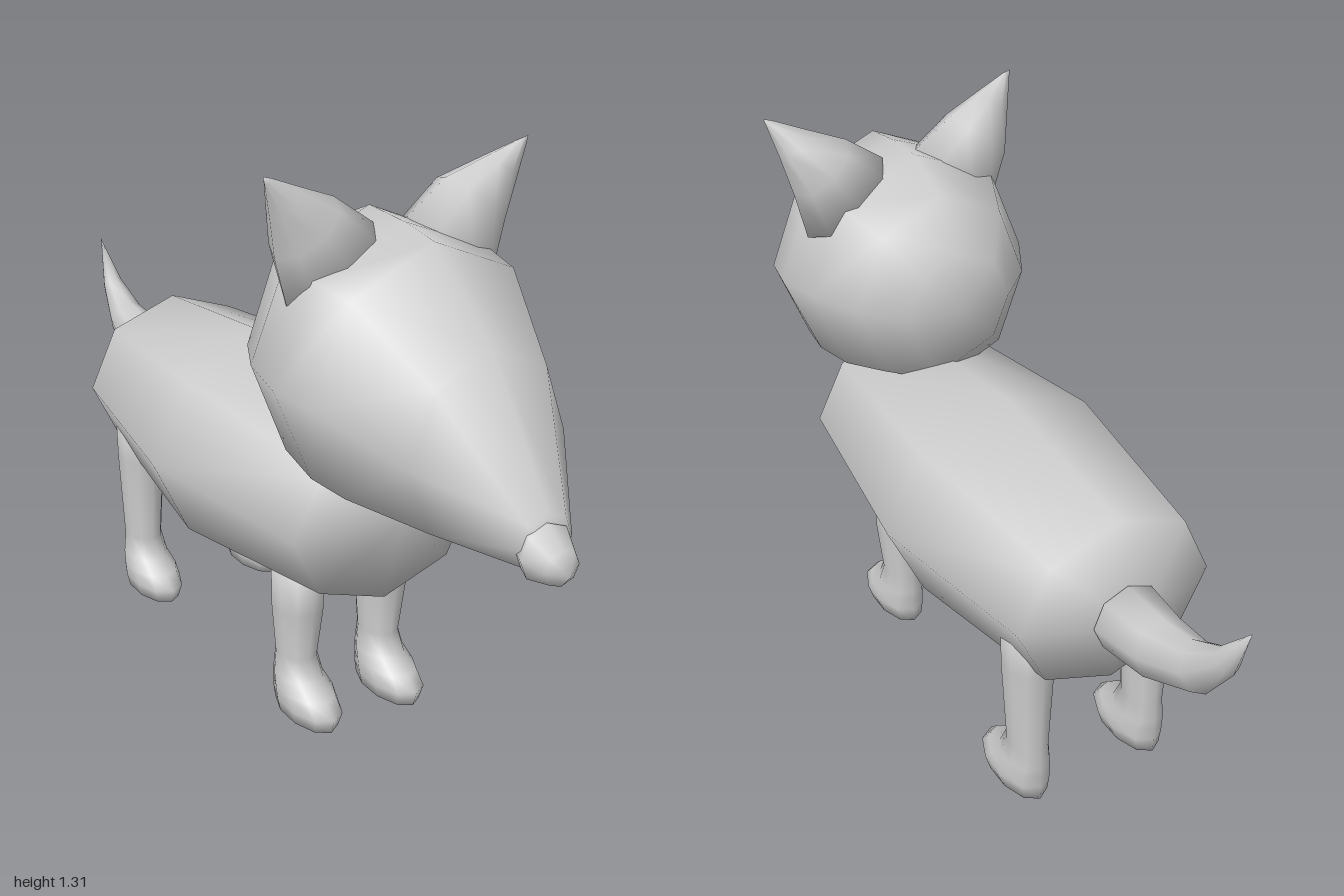
import * as THREE from 'three';

const material = new THREE.MeshStandardMaterial({ color: 0xcccccc });
const X = new THREE.Vector3(1, 0, 0);
const Y = new THREE.Vector3(0, 1, 0);
const Z = new THREE.Vector3(0, 0, 1);

// Closed loft through elliptical rings [x, y, z, radiusU, radiusV, direction?].
// u is the fixed first ring axis; the second is direction x u.
// The end caps close on the points start and end.
function loft(name, rings, u, direction, sides, start, end) {
  const pos = [...start];
  const index = [];
  for (const [x, y, z, ru, rv, dir = direction] of rings) {
    const v = new THREE.Vector3().crossVectors(dir, u).normalize();
    for (let i = 0; i < sides; i++) {
      const a = (i / sides) * Math.PI * 2;
      const p = new THREE.Vector3(x, y, z)
        .addScaledVector(u, ru * Math.cos(a))
        .addScaledVector(v, rv * Math.sin(a));
      pos.push(p.x, p.y, p.z);
    }
  }
  pos.push(...end);
  const last = rings.length * sides + 1;
  for (let i = 0; i < sides; i++) {
    const j = (i + 1) % sides;
    index.push(0, 1 + j, 1 + i);
    for (let r = 0; r < rings.length - 1; r++) {
      const a = 1 + r * sides, b = a + sides;
      index.push(a + i, a + j, b + i, a + j, b + j, b + i);
    }
    index.push(last - sides + i, last - sides + j, last);
  }
  const geometry = new THREE.BufferGeometry();
  geometry.setAttribute('position', new THREE.Float32BufferAttribute(pos, 3));
  geometry.setIndex(index);
  geometry.computeVertexNormals();
  const mesh = new THREE.Mesh(geometry, material);
  mesh.name = name;
  return mesh;
}

// Leg and forward-pointing foot in one loft from the sole up
function leg(name, x, z, y0, top) {
  const rings = [
    [x, y0, z + 0.04, 0.105, 0.052],
    [x, y0 + 0.035, z + 0.045, 0.11, 0.062],
    [x, y0 + 0.065, z + 0.03, 0.095, 0.06],
    [x, y0 + 0.09, z + 0.005, 0.07, 0.053],
    [x, y0 + 0.14, z - 0.005, 0.056, 0.045],
    [x, top - 0.1, z, 0.068, 0.057],
    [x, top - 0.01, z, 0.07, 0.058],
  ];
  return loft(name, rings, Z, Y, 10, [x, y0, z + 0.04], [x, top, z]);
}

// Ear leaning outwards; s is the side
function ear(name, s) {
  const rings = [
    [s * 0.14, 1.1, 0.39, 0.09, 0.125],
    [s * 0.2, 1.19, 0.385, 0.078, 0.085],
    [s * 0.255, 1.252, 0.403, 0.042, 0.042],
    [s * 0.3, 1.302, 0.418, 0.009, 0.009],
  ];
  const dir = new THREE.Vector3(s * 0.62, 0.78, 0);
  return loft(name, rings, Z, dir, 8, [s * 0.12, 1.07, 0.39], [s * 0.312, 1.313, 0.42]);
}

export function createModel() {
  const model = new THREE.Group();
  model.name = 'animal';

  // Barrel-shaped octagonal body, back to front
  model.add(loft('body', [
    [0, 0.535, -0.56, 0.235, 0.205],
    [0, 0.52, -0.1, 0.3, 0.265],
    [0, 0.525, 0.4, 0.235, 0.195],
  ], X, Z, 8, [0, 0.53, -0.65], [0, 0.54, 0.46]));

  // Head tapering to a low pointed snout
  const hx = -0.012;
  const profile = [
    // z, top, bottom, half width
    [0.13, 1.03, 0.76, 0.13],
    [0.21, 1.14, 0.66, 0.215],
    [0.33, 1.195, 0.62, 0.277],
    [0.45, 1.19, 0.605, 0.297],
    [0.55, 1.175, 0.6, 0.277],
    [0.74, 1.02, 0.615, 0.185],
    [0.92, 0.76, 0.64, 0.06],
  ];
  model.add(loft('head',
    profile.map(([z, t, b, w]) => [hx, (t + b) / 2, z, w, (t - b) / 2]),
    X, Z, 8, [hx, 0.9, 0.105], [hx, 0.69, 0.95]));

  // Nose
  model.add(loft('nose', [
    [-0.02, 0.69, 0.9, 0.05, 0.05],
    [-0.02, 0.688, 0.93, 0.062, 0.06],
    [-0.02, 0.675, 0.975, 0.04, 0.036],
  ], X, Z, 8, [-0.02, 0.69, 0.885], [-0.02, 0.665, 0.995]));

  // Ears
  model.add(ear('leftEar', 1), ear('rightEar', -1));

  // Upward-curving tail
  const dir = (y, z) => new THREE.Vector3(0, y, z);
  model.add(loft('tail', [
    [0.01, 0.54, -0.62, 0.082, 0.078, dir(0.05, -1)],
    [0.01, 0.548, -0.74, 0.066, 0.072, dir(0.15, -1)],
    [0.01, 0.59, -0.86, 0.045, 0.056, dir(0.5, -0.85)],
    [0.01, 0.665, -0.938, 0.025, 0.03, dir(0.8, -0.6)],
  ], X, Z, 8, [0.01, 0.54, -0.6], [0.01, 0.775, -1]));

  // Legs
  model.add(
    leg('leftFrontLeg', 0.108, 0.23, 0, 0.365),
    leg('rightFrontLeg', -0.116, 0.23, 0.005, 0.365),
    leg('leftBackLeg', 0.152, -0.465, 0.008, 0.47),
    leg('rightBackLeg', -0.152, -0.465, 0.008, 0.47),
  );
  return model;
}
